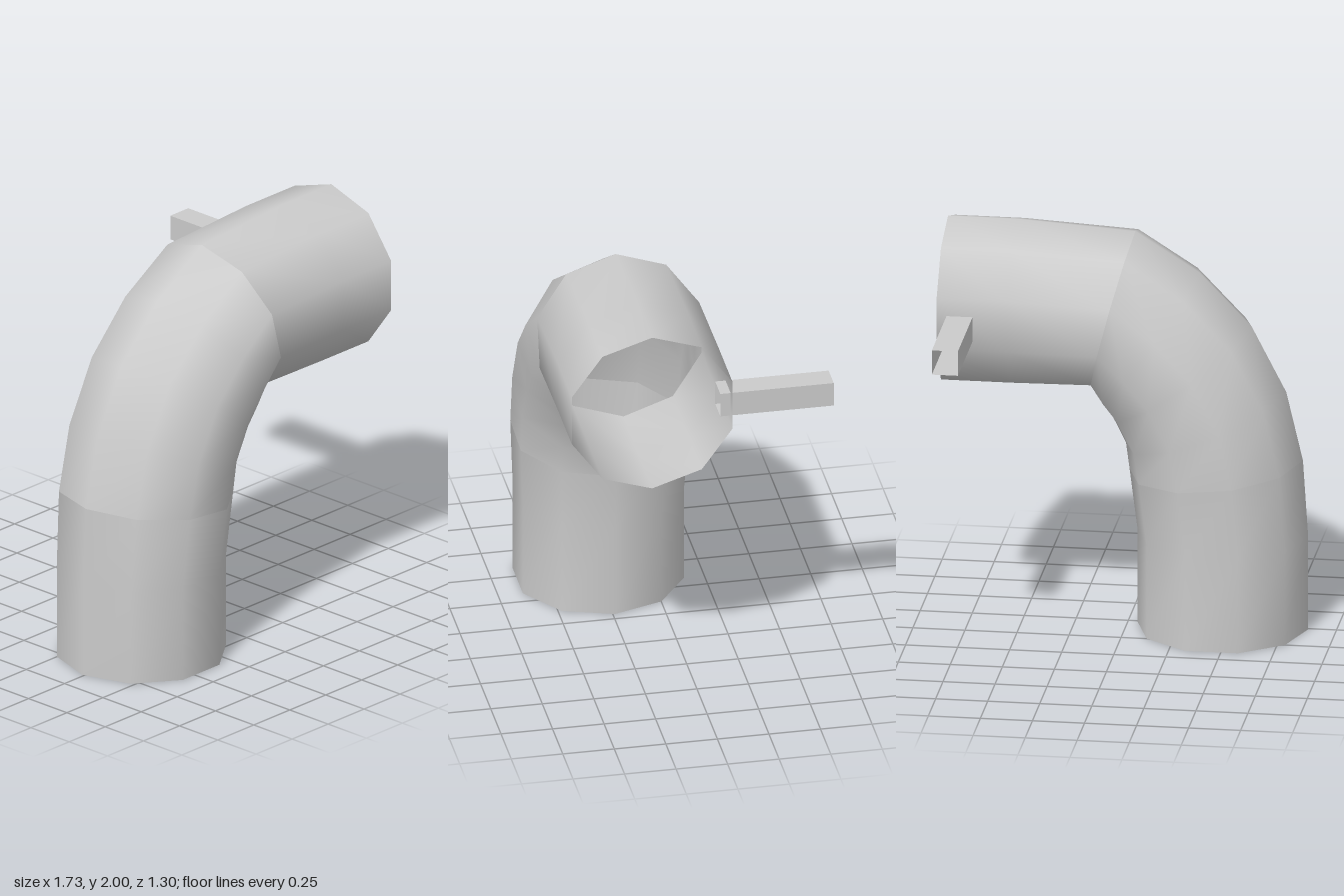
import * as THREE from 'three';

const SIDES = 10;
const CENTRE_Z = 0.24;

const smooth = new THREE.MeshStandardMaterial({ color: 0xcccccc, side: THREE.DoubleSide });
const flat = new THREE.MeshStandardMaterial({ color: 0xcccccc, side: THREE.DoubleSide, flatShading: true });

// Each ring: outer x, outer y, inner x, inner y, half width across z
const base = [-0.865, 0, -0.045, 0, 0.41];
const baseTop = [-0.865, 0.47, -0.045, 0.47, 0.41];
const lowerSeam = [-0.84, 0.85, -0.007, 0.77, 0.428];
const upperSeam = [-0.035, 1.965, 0.165, 1.19, 0.413];
const armStart = [0.53, 2, 0.53, 1.18, 0.41];
const armEnd = [0.865, 2, 0.865, 1.18, 0.41];

// Open tube skinned through a list of tilted rings
function pipe(name, rings) {
  const positions = [];
  const index = [];
  rings.forEach(([ox, oy, ix, iy, halfZ], r) => {
    for (let s = 0; s < SIDES; s++) {
      const a = (s / SIDES) * Math.PI * 2;
      const t = (1 + Math.cos(a)) / 2;
      positions.push(ix + (ox - ix) * t, iy + (oy - iy) * t, CENTRE_Z + halfZ * Math.sin(a));
      if (r > 0) {
        const n = (s + 1) % SIDES;
        const lo = (r - 1) * SIDES;
        const hi = r * SIDES;
        index.push(lo + s, lo + n, hi + n, lo + s, hi + n, hi + s);
      }
    }
  });
  const geometry = new THREE.BufferGeometry();
  geometry.setAttribute('position', new THREE.Float32BufferAttribute(positions, 3));
  geometry.setIndex(index);
  geometry.computeVertexNormals();
  const mesh = new THREE.Mesh(geometry, smooth);
  mesh.name = name;
  return mesh;
}

export function createModel() {
  const model = new THREE.Group();
  model.name = 'bentPipe';

  // Upright pipe, elbow and horizontal arm, meeting at two seams
  model.add(pipe('uprightPipe', [base, baseTop, lowerSeam]));
  model.add(pipe('elbow', [
    lowerSeam,
    [-0.76, 1.19, 0.01, 0.9, 0.43],
    [-0.595, 1.51, 0.08, 1.04, 0.43],
    [-0.345, 1.77, 0.13, 1.11, 0.428],
    upperSeam,
  ]));
  model.add(pipe('horizontalPipe', [upperSeam, armStart, armEnd]));

  // Square hollow handle poking through the back wall near the mouth
  const bar = new THREE.CylinderGeometry(Math.SQRT1_2, Math.SQRT1_2, 1, 4, 1, true);
  bar.rotateY(Math.PI / 4).rotateX(Math.PI / 2).scale(0.125, 0.122, 0.55);
  const handle = new THREE.Mesh(bar, flat);
  handle.name = 'handle';
  handle.position.set(0.755, 1.57, -0.375);
  model.add(handle);

  return model;
}
